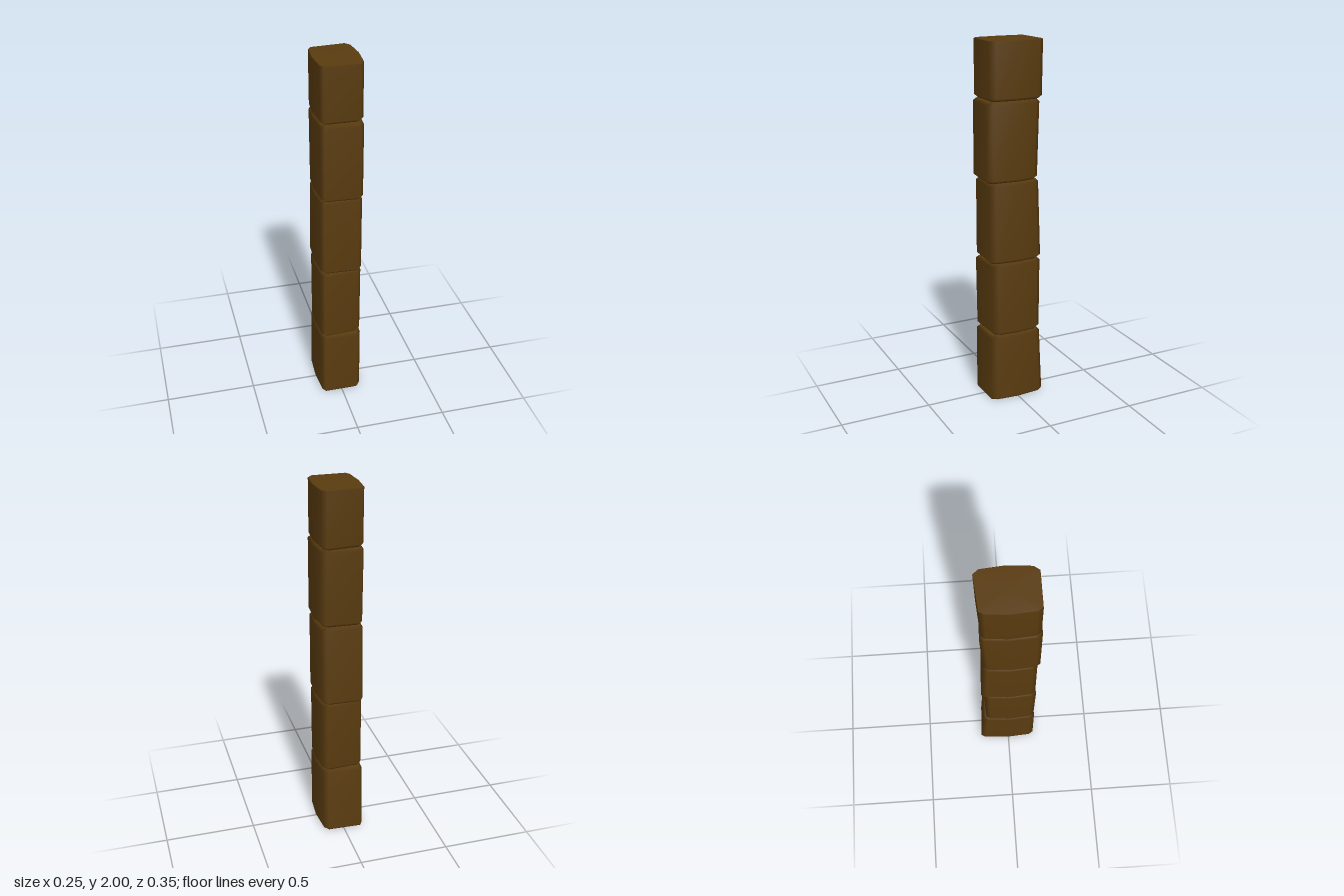
import * as THREE from 'three';

// Each block: base y, top y, front z (bottom, top), back z (bottom, top), front skew, back skew
const BLOCKS = [
  [0.0, 0.388, 0.157, 0.157, -0.172, -0.152, 0.0, 0.008],
  [0.388, 0.807, 0.152, 0.158, -0.142, -0.144, -0.01, -0.01],
  [0.807, 1.257, 0.16, 0.16, -0.154, -0.136, 0.008, 0.006],
  [1.257, 1.69, 0.176, 0.175, -0.131, -0.142, 0.01, 0.008],
  [1.69, 2.0, 0.158, 0.158, -0.148, -0.152, 0.0, -0.015],
];
const SIDES = 10;

// Bulging ten-sided outline, counter-clockwise from above
function outline(front, back, skewF, skewB) {
  const f = (x) => front - (skewF > 0 ? (x < 0 ? skewF : 0) : (x > 0 ? -skewF : 0));
  const b = (x) => back + (skewB > 0 ? (x > 0 ? skewB : 0) : (x < 0 ? -skewB : 0));
  return [
    [0.123, 0], [0.112, b(1) + 0.03], [0.088, b(1)], [-0.1, b(-1)], [-0.114, b(-1) + 0.025],
    [-0.123, 0], [-0.114, f(-1) - 0.025], [-0.098, f(-1)], [0.09, f(1)], [0.112, f(1) - 0.03],
  ];
}

function blockGeometry([y0, y1, f0, f1, b0, b1, skewF, skewB], first, last) {
  const bevel = 0.016;
  // Rings as [height, inset]; the two outer ends of the stack stay square
  const rings = [
    [y0, first ? 0.004 : bevel], [y0 + (first ? 0.008 : bevel), 0],
    [y1 - (last ? 0.004 : bevel), 0], [y1, last ? 0.003 : bevel],
  ];
  const pos = [], index = [];
  for (const [y, inset] of rings) {
    const t = (y - y0) / (y1 - y0);
    const pts = outline(THREE.MathUtils.lerp(f0, f1, t), THREE.MathUtils.lerp(b0, b1, t), skewF, skewB);
    for (const [x, z] of pts) pos.push(x * (1 - inset / 0.13), y, z * (1 - inset / 0.16));
  }
  for (let r = 0; r < rings.length - 1; r++) {
    for (let i = 0; i < SIDES; i++) {
      const a = r * SIDES + i, b = r * SIDES + (i + 1) % SIDES;
      index.push(a, b, b + SIDES, a, b + SIDES, a + SIDES);
    }
  }
  // End caps share the rim so the shading rolls over the edges
  const base = rings.length * SIDES, top = base - SIDES;
  pos.push(0, y0, 0, 0, y1, 0);
  for (let i = 0; i < SIDES; i++) {
    const j = (i + 1) % SIDES;
    index.push(base, j, i, base + 1, top + i, top + j);
  }
  const geo = new THREE.BufferGeometry();
  geo.setAttribute('position', new THREE.Float32BufferAttribute(pos, 3));
  geo.setIndex(index);
  geo.computeVertexNormals();
  return geo;
}

export function createModel() {
  const group = new THREE.Group();
  group.name = 'blockPillar';
  const brown = new THREE.MeshStandardMaterial({ color: 0x593b0f });
  brown.name = 'dark brown';
  BLOCKS.forEach((block, i) => {
    const mesh = new THREE.Mesh(blockGeometry(block, i === 0, i === BLOCKS.length - 1), brown);
    mesh.name = `pillarBlock${i + 1}`;
    group.add(mesh);
  });
  return group;
}
